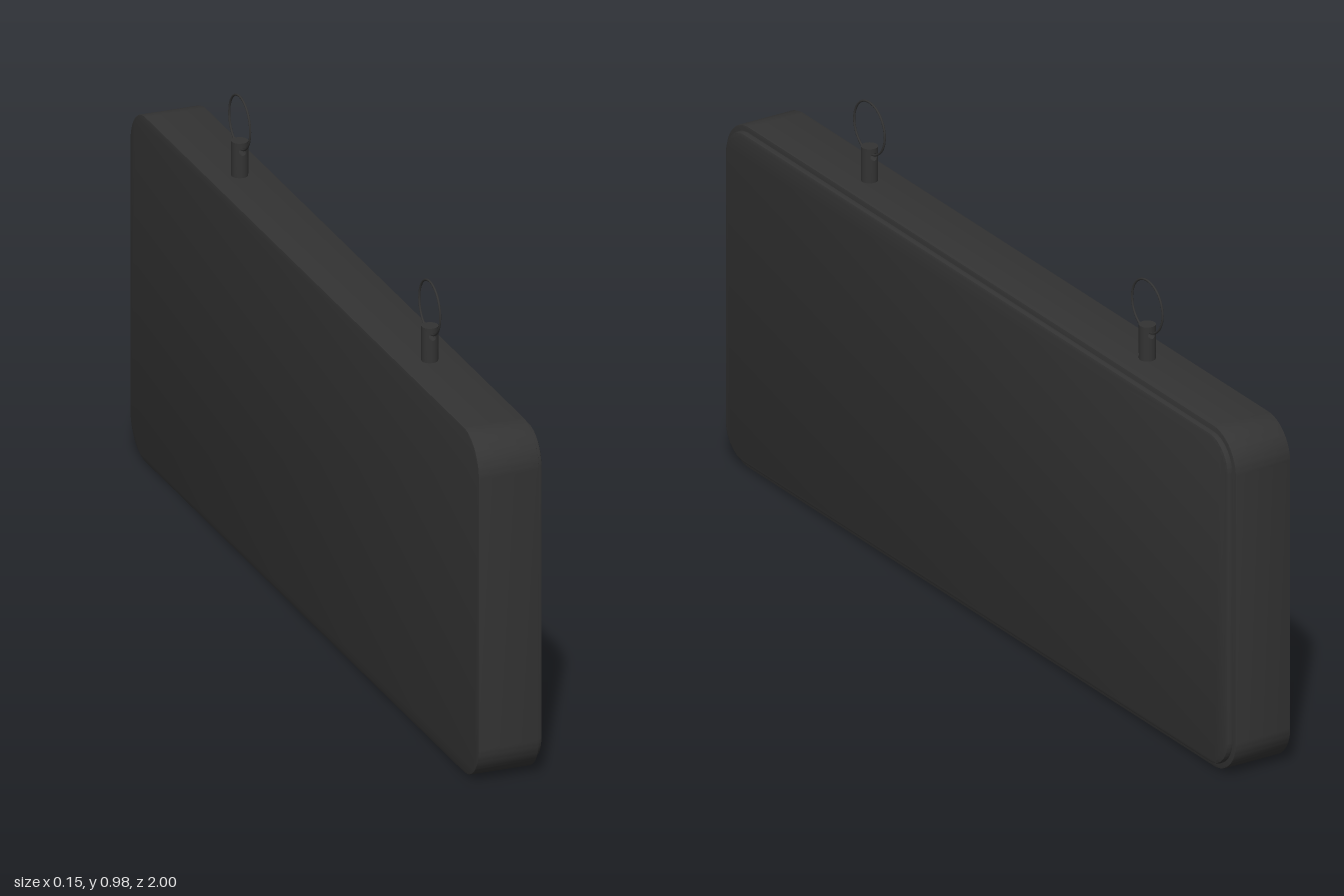
import * as THREE from 'three';
import { toCreasedNormals } from 'three/addons/utils/BufferGeometryUtils.js';
import { ParametricGeometry } from 'three/addons/geometries/ParametricGeometry.js';

const HEIGHT = 0.8, CORNER = 0.088;
const dark = new THREE.MeshStandardMaterial({ color: 0x333333 });

function addMesh(parent, name, geometry) {
  const mesh = new THREE.Mesh(geometry, dark);
  mesh.name = name;
  parent.add(mesh);
  return mesh;
}

// Rounded slab standing in the yz plane, spanning x0..x1, with chamfered rims.
function slab(x0, x1, inset, bevel) {
  const m = inset + bevel, r = CORNER - m;
  const w = 1 - m, y0 = m, y1 = HEIGHT - m;
  const s = new THREE.Shape();
  s.absarc(w - r, y0 + r, r, -Math.PI / 2, 0);
  s.absarc(w - r, y1 - r, r, 0, Math.PI / 2);
  s.absarc(-w + r, y1 - r, r, Math.PI / 2, Math.PI);
  s.absarc(-w + r, y0 + r, r, Math.PI, Math.PI * 1.5);
  s.closePath();
  const g = new THREE.ExtrudeGeometry(s, {
    depth: x1 - x0 - 2 * bevel, curveSegments: 12,
    bevelEnabled: true, bevelSize: bevel, bevelThickness: bevel, bevelSegments: 2,
  });
  g.translate(0, 0, x0 + bevel).rotateY(Math.PI / 2);
  return toCreasedNormals(g, 0.6);
}

// Round peg with a cross-drilled hole along z, and a wire ring through it.
function hanger() {
  const group = new THREE.Group();
  const r = 0.0185, hole = 0.0085, holeY = 0.86, bottom = 0.79, top = 0.88;

  // Half of the cylinder wall, spread from the hole to the wall's outline
  const wall = new ParametricGeometry((u, v, p) => {
    const a = -u * Math.PI * 2, c = Math.cos(a), s = Math.sin(a);
    const k = 1 / Math.max(Math.abs(c), Math.abs(s));
    const phi = THREE.MathUtils.lerp(Math.asin(hole * c / r), c * k * Math.PI / 2, v);
    const edgeY = s > 0 ? (top - holeY) * s * k : (holeY - bottom) * s * k;
    const y = holeY + THREE.MathUtils.lerp(hole * s, edgeY, v);
    p.set(r * Math.sin(phi), y, r * Math.cos(phi));
  }, 32, 8);
  addMesh(group, 'pegWallFront', wall);
  addMesh(group, 'pegWallBack', wall).rotation.y = Math.PI;

  // Inside of the drilled hole
  addMesh(group, 'pegHole', new ParametricGeometry((u, v, p) => {
    const a = -u * Math.PI * 2, x = hole * Math.cos(a);
    p.set(x, holeY + hole * Math.sin(a), (2 * v - 1) * Math.sqrt(r * r - x * x));
  }, 32, 1));

  const cap = new THREE.CircleGeometry(r, 32).rotateX(-Math.PI / 2);
  addMesh(group, 'pegTop', cap).position.y = top;

  const ring = addMesh(group, 'ring', new THREE.TorusGeometry(0.06, 0.0025, 8, 48));
  ring.rotation.y = Math.PI / 2;
  ring.position.y = 0.922;
  return group;
}

export function createModel() {
  const model = new THREE.Group();
  model.name = 'hangingSign';

  addMesh(model, 'body', slab(-0.078, 0.062, 0, 0.003));
  addMesh(model, 'facePanel', slab(0.05, 0.075, 0.013, 0.008));

  // Two hangers along the top edge
  for (const z of [-0.545, 0.545]) {
    const h = hanger();
    h.name = z > 0 ? 'frontHanger' : 'backHanger';
    h.position.set(-0.008, 0, z);
    model.add(h);
  }
  return model;
}
